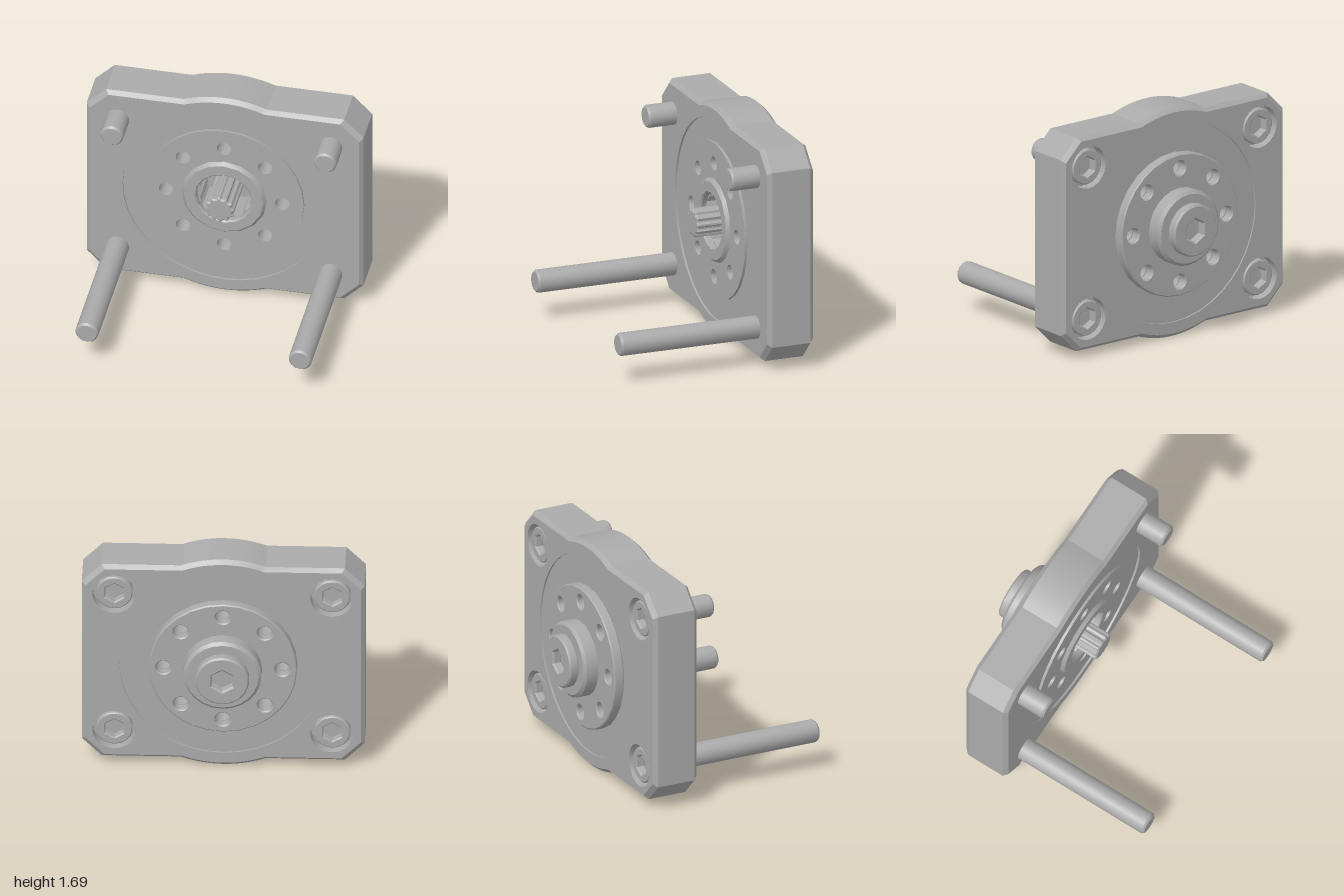
import * as THREE from 'three';
import { toCreasedNormals } from 'three/addons/utils/BufferGeometryUtils.js';

const CY = 0.845; // height of the main axis
const FRONT = -0.23, BACK = -0.58;

export function createModel() {
  const model = new THREE.Group();
  model.name = 'flangedHousing';
  const steel = new THREE.MeshStandardMaterial({ color: 0xaaaaaa, side: THREE.DoubleSide });
  steel.name = 'grey steel';

  const add = (name, geo, x = 0, y = 0, z = 0, parent = body) => {
    const mesh = new THREE.Mesh(geo, steel);
    mesh.name = name;
    mesh.position.set(x, y, z);
    parent.add(mesh);
    return mesh;
  };
  const body = new THREE.Group();
  body.name = 'body';
  body.position.y = CY;
  model.add(body);

  // Regular polygon points; alternate radii give teeth
  const ring = (r, n, x = 0, y = 0, r2 = r) => Array.from({ length: n }, (_, i) => {
    const a = Math.PI / 2 + (i / n) * Math.PI * 2, q = Math.floor(i / 2) % 2 ? r2 : r;
    return new THREE.Vector2(x + q * Math.cos(a), y + q * Math.sin(a));
  });
  const shapeOf = (outer, holes = []) => {
    const s = new THREE.Shape(outer);
    s.holes = holes.map((h) => new THREE.Path(h));
    return s;
  };
  // Solid slab between two depths
  const slab = (outer, holes, z0, z1, bevel = 0) => {
    const g = new THREE.ExtrudeGeometry(shapeOf(outer, holes), {
      depth: z1 - z0 - 2 * bevel, bevelEnabled: bevel > 0, bevelSize: bevel,
      bevelThickness: bevel, bevelOffset: -bevel, bevelSegments: 1 });
    g.translate(0, 0, z0 + bevel);
    return toCreasedNormals(g, 0.5);
  };
  // Turned part about the z axis from [radius, z] pairs
  const turned = (pts, n = 20) => {
    const g = new THREE.LatheGeometry(pts.map((p) => new THREE.Vector2(...p)), n);
    g.rotateX(Math.PI / 2);
    return toCreasedNormals(g, 0.5);
  };

  // Plate outline: clipped corners and a bulge at top and bottom
  const half = [[1, -0.65], [1, 0.65], [0.86, 0.79]].map((p) => new THREE.Vector2(...p));
  for (let i = 0; i <= 12; i++) {
    const x = 0.3 - i * 0.05;
    half.push(new THREE.Vector2(x, Math.sqrt(0.845 ** 2 - x * x)));
  }
  half.push(new THREE.Vector2(-0.86, 0.79));
  const outline = [...half, ...half.map((p) => p.clone().negate())]
    .filter((p, i, a) => i === 0 || p.distanceTo(a[i - 1]) > 1e-4);
  const inset = outline.map((p) => new THREE.Vector2(p.x * 0.974, p.y * 0.967));

  // Chamfered plate rim, lofted through four sections
  const sections = [[inset, BACK], [outline, BACK + 0.03], [outline, FRONT - 0.03], [inset, FRONT]];
  const pos = [];
  for (let s = 0; s < 3; s++) {
    const [a, za] = sections[s], [b, zb] = sections[s + 1];
    for (let i = 0; i < a.length; i++) {
      const j = (i + 1) % a.length;
      const A = [a[i].x, a[i].y, za], B = [a[j].x, a[j].y, za];
      const C = [b[j].x, b[j].y, zb], D = [b[i].x, b[i].y, zb];
      pos.push(...A, ...B, ...C, ...A, ...C, ...D);
    }
  }
  const rim = new THREE.BufferGeometry();
  rim.setAttribute('position', new THREE.Float32BufferAttribute(pos, 3));
  add('plateRim', toCreasedNormals(rim, 0.3));

  // Plate faces with the central bore and the rear counterbores
  const bore = ring(0.735, 40);
  const corners = [[0.77, 0.56], [-0.77, 0.56], [0.77, -0.56], [-0.77, -0.56]];
  add('plateFront', new THREE.ShapeGeometry(shapeOf(inset, [bore])), 0, 0, FRONT);
  const rear = new THREE.ShapeGeometry(shapeOf(inset,
    [bore, ...corners.map(([x, y]) => ring(0.155, 20, x, y))]));
  rear.rotateY(Math.PI);
  add('plateBack', rear, 0, 0, BACK);
  add('boreWall', turned([[0.735, BACK], [0.735, FRONT]], 40));

  // Core disc, front face and rear flange share a circle of eight holes
  const holes = [];
  for (let i = 0; i < 8; i++) {
    const a = (i / 8) * Math.PI * 2;
    holes.push(ring(0.053, 20, 0.42 * Math.cos(a), 0.42 * Math.sin(a)));
  }
  add('coreDisc', slab(bore, [...holes, ring(0.205, 48, 0, 0, 0.185)], BACK + 0.012, FRONT - 0.015));
  add('frontDisc', slab(ring(0.575, 28), [...holes, ring(0.21, 24)], FRONT - 0.015, FRONT + 0.004));
  add('rearFlange', slab(ring(0.525, 28), holes, -0.645, BACK + 0.012, 0.008));

  // Front hub collar and its splined shaft
  add('hubCollar', turned([[0.31, -0.23], [0.305, -0.222], [0.285, -0.2], [0.21, -0.2], [0.2, -0.21], [0.2, -0.25]], 16));
  add('hubFloor', new THREE.CircleGeometry(0.21, 24), 0, 0, -0.48);
  add('splinedShaft', slab(ring(0.105, 48, 0, 0, 0.092), [], -0.5, -0.06, 0.01));

  // Rear boss and nut with a hexagonal socket
  add('rearBoss', turned([[0, -0.755], [0.255, -0.755], [0.277, -0.735], [0.277, -0.64]], 24));
  add('rearNut', slab(ring(0.192, 18), [ring(0.085, 6)], -0.825, -0.75, 0.012));

  // Corner bolts: short above, long below, heads sunk into the back
  for (const [x, y] of corners) {
    const bolt = new THREE.Group();
    bolt.name = y > 0 ? 'shortBolt' : 'longBolt';
    bolt.position.set(x, y, 0);
    body.add(bolt);
    const tip = y > 0 ? -0.018 : 0.825;
    add('boltShank', turned([[0.083, -0.3], [0.083, tip - 0.015], [0.07, tip], [0, tip]], 14), 0, 0, 0, bolt);
    add('counterboreWall', turned([[0.155, BACK], [0.155, -0.5], [0, -0.5]], 20), 0, 0, 0, bolt);
    add('boltHead', slab(ring(0.13, 18), [ring(0.075, 6)], -0.565, -0.5, 0.008), 0, 0, 0, bolt);
  }
  return model;
}
